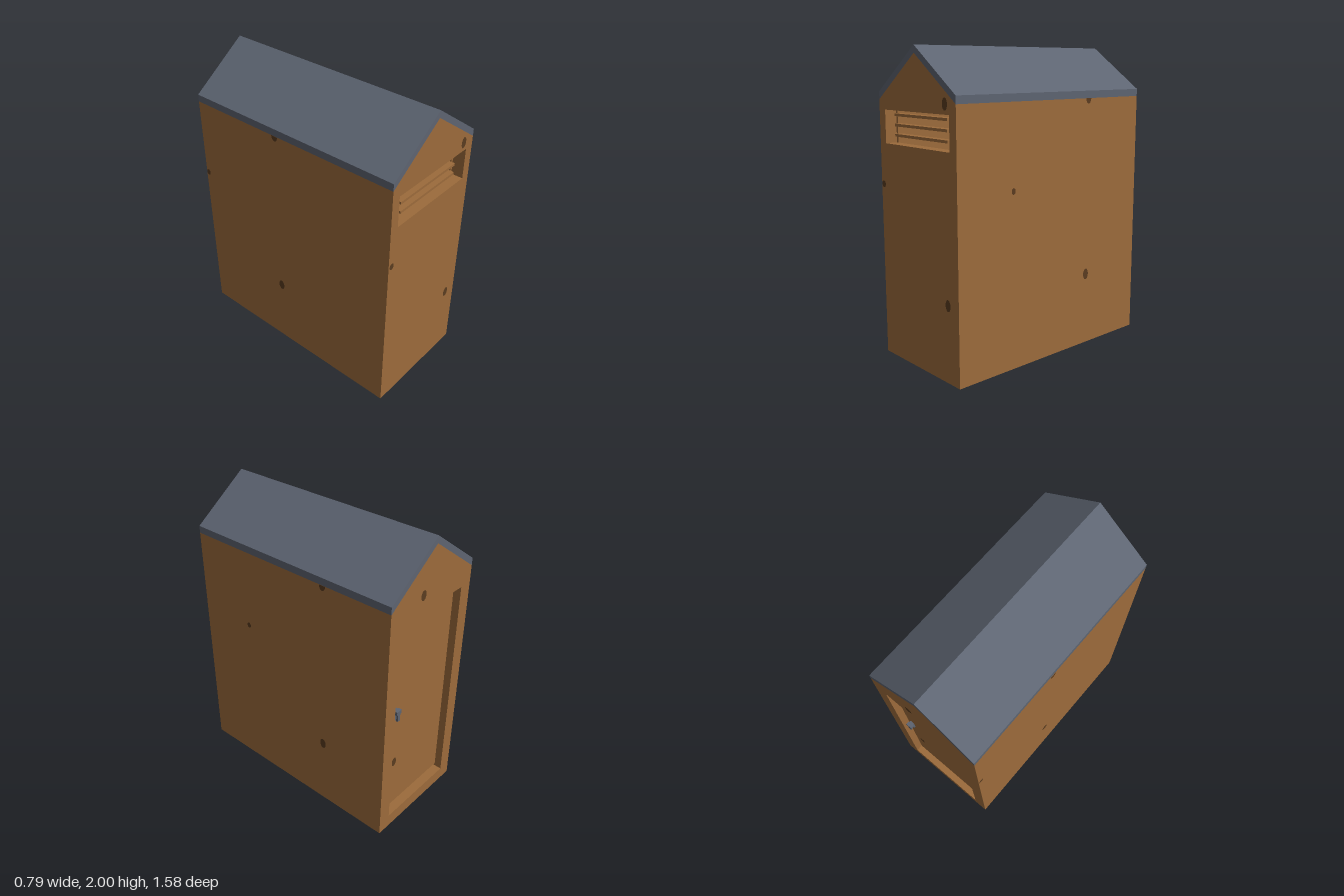
import * as THREE from 'three';

const W = 0.393, D = 0.788, EAVE = 1.672, RIDGE = 1.953, T = 0.08;

const mat = (name, color) => {
  const m = new THREE.MeshStandardMaterial({ color });
  m.name = name;
  return m;
};

export function createModel() {
  const wood = mat('wood', 0x9c6b3b);
  const slate = mat('slate', 0x5d6471);
  const darkWood = mat('dark wood', 0x5a3c20);
  const group = new THREE.Group();

  const add = (name, geometry, material, x = 0, y = 0, z = 0) => {
    const mesh = new THREE.Mesh(geometry, material);
    mesh.name = name;
    mesh.position.set(x, y, z);
    group.add(mesh);
    return mesh;
  };
  const box = (name, w, h, d, material, x, y, z) =>
    add(name, new THREE.BoxGeometry(w, h, d), material, x, y, z);
  const points = (list) => list.map(([x, y]) => new THREE.Vector2(x, y));
  const extrude = (shape, depth) =>
    new THREE.ExtrudeGeometry(shape, { depth, bevelEnabled: false });

  // Gable wall with a rectangular opening
  const gable = (halfWidth, bottom, top) => {
    const shape = new THREE.Shape(points([[-W, 0], [W, 0], [W, EAVE], [0, RIDGE], [-W, EAVE]]));
    shape.holes.push(new THREE.Path(points([
      [-halfWidth, bottom], [-halfWidth, top], [halfWidth, top], [halfWidth, bottom],
    ])));
    return extrude(shape, T);
  };
  add('frontWall', gable(0.33, 1.4, 1.61), wood, 0, 0, D - T);
  add('backWall', gable(0.3, 0.09, 1.56), wood, 0, 0, -D);

  // Side walls and floor between the gables
  const inner = 2 * (D - T);
  for (const [name, s] of [['leftWall', 1], ['rightWall', -1]]) {
    box(name, T, EAVE, inner, wood, s * (W - T / 2), EAVE / 2, 0);
  }
  box('floor', 2 * (W - T), T, inner, wood, 0, T / 2, 0);

  // Pitched roof slab
  const roof = new THREE.Shape(points([
    [-W, EAVE], [0, RIDGE], [W, EAVE], [W, 1.72], [0, 2], [-W, 1.72],
  ]));
  add('roof', extrude(roof, 2 * D), slate, 0, 0, -D);

  // Louvre slats in the front vent
  for (let i = 0; i < 3; i++) {
    box('ventSlat', 0.54, 0.017, 0.05, wood, 0, 1.453 + i * 0.0635, D - 0.055);
  }

  // Recessed back door with a small gap around it, and its handle
  const doorFace = -D + 0.045;
  box('door', 0.58, 1.41, 0.035, wood, 0, 0.825, doorFace + 0.0175);
  box('handlePlate', 0.03, 0.085, 0.012, slate, 0.245, 0.89, doorFace - 0.006);
  box('handleGrip', 0.045, 0.025, 0.025, slate, 0.245, 0.92, doorFace - 0.024);
  box('handleLever', 0.022, 0.06, 0.012, slate, 0.245, 0.885, doorFace - 0.03);

  // Wood knots: thin ellipses laid on the faces
  const knot = (x, y, z, rotX, rotY, rx, ry, half = false) => {
    const disc = half
      ? new THREE.CircleGeometry(1, 12, Math.PI, Math.PI)
      : new THREE.CircleGeometry(1, 20);
    const mesh = add('woodKnot', disc.scale(rx, ry, 1), darkWood, x, y, z);
    mesh.rotation.set(rotX, rotY, 0);
  };
  const e = 0.002, q = Math.PI / 2;
  // front
  knot(0.292, 1.67, D + e, 0, 0, 0.024, 0.037);
  knot(0.292, 0.49, D + e, 0, 0, 0.024, 0.037);
  knot(-0.367, 1.137, D + e, 0, 0, 0.02, 0.022);
  // left side
  knot(W + e, EAVE, -0.292, 0, q, 0.024, 0.034, true);
  knot(W + e, 0.49, -0.292, 0, q, 0.024, 0.037);
  knot(W + e, 1.137, 0.363, 0, q, 0.016, 0.02);
  // right side
  knot(-W - e, EAVE, -0.1, 0, -q, 0.024, 0.034, true);
  knot(-W - e, 0.49, -0.1, 0, -q, 0.024, 0.037);
  knot(-W - e, 1.137, -0.768, 0, -q, 0.018, 0.022);
  // back and door
  knot(0.1, 1.67, -D - e, 0, Math.PI, 0.024, 0.034);
  knot(0.22, 0.485, doorFace - e, 0, Math.PI, 0.022, 0.034);
  // underside
  knot(0.3, -0.001, -0.4, q, 0, 0.022, 0.022);
  knot(0.28, -0.001, 0.766, q, 0, 0.02, 0.02);

  return group;
}
